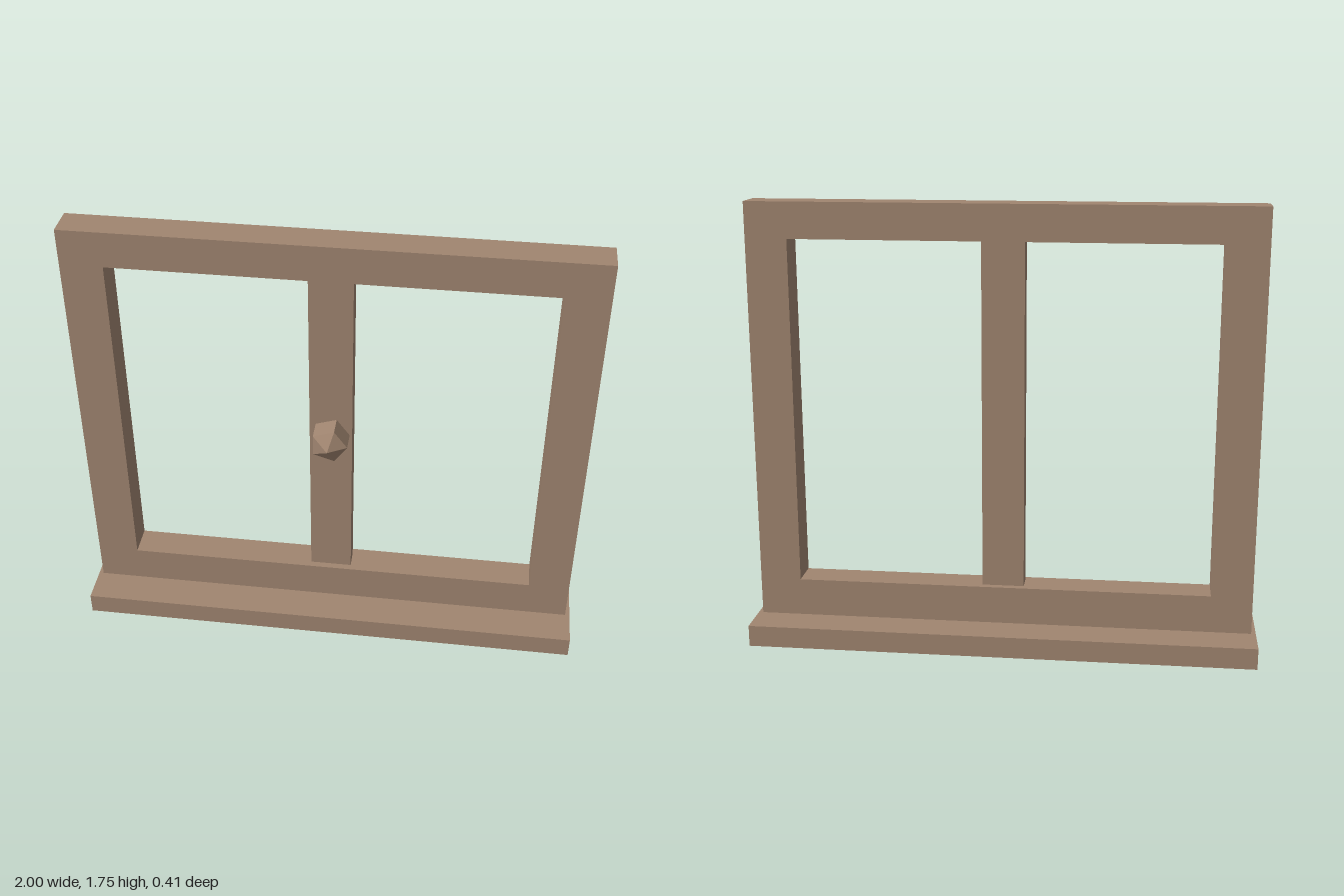
import * as THREE from 'three';

export function createModel() {
  const group = new THREE.Group();
  const wood = new THREE.MeshStandardMaterial({ color: 0xa08570, flatShading: true });
  wood.name = 'brown wood';

  const add = (name, geometry, x, y, z) => {
    const mesh = new THREE.Mesh(geometry, wood);
    mesh.name = name;
    mesh.position.set(x, y, z);
    group.add(mesh);
  };

  const rectangle = (path, halfWidth, bottom, top) => {
    path.moveTo(-halfWidth, bottom);
    path.lineTo(halfWidth, bottom);
    path.lineTo(halfWidth, top);
    path.lineTo(-halfWidth, top);
    path.closePath();
    return path;
  };

  // Window sill
  add('sill', new THREE.BoxGeometry(2, 0.085, 0.414), 0, 0.0425, 0);

  // Outer frame with one large opening
  const outline = rectangle(new THREE.Shape(), 0.982, 0.085, 1.745);
  outline.holes.push(rectangle(new THREE.Path(), 0.82, 0.235, 1.605));
  const frame = new THREE.ExtrudeGeometry(outline, { depth: 0.126, bevelEnabled: false });
  add('frame', frame, 0, 0, -0.063);

  // Thinner central post
  add('centrePost', new THREE.BoxGeometry(0.165, 1.37, 0.074), 0, 0.92, 0);

  // Faceted knob, pole facing forward and one corner towards +x
  const knob = new THREE.SphereGeometry(0.084, 5, 3);
  knob.rotateY(Math.PI);
  knob.rotateX(Math.PI / 2);
  add('knob', knob, 0, 0.915, 0.075);

  return group;
}
